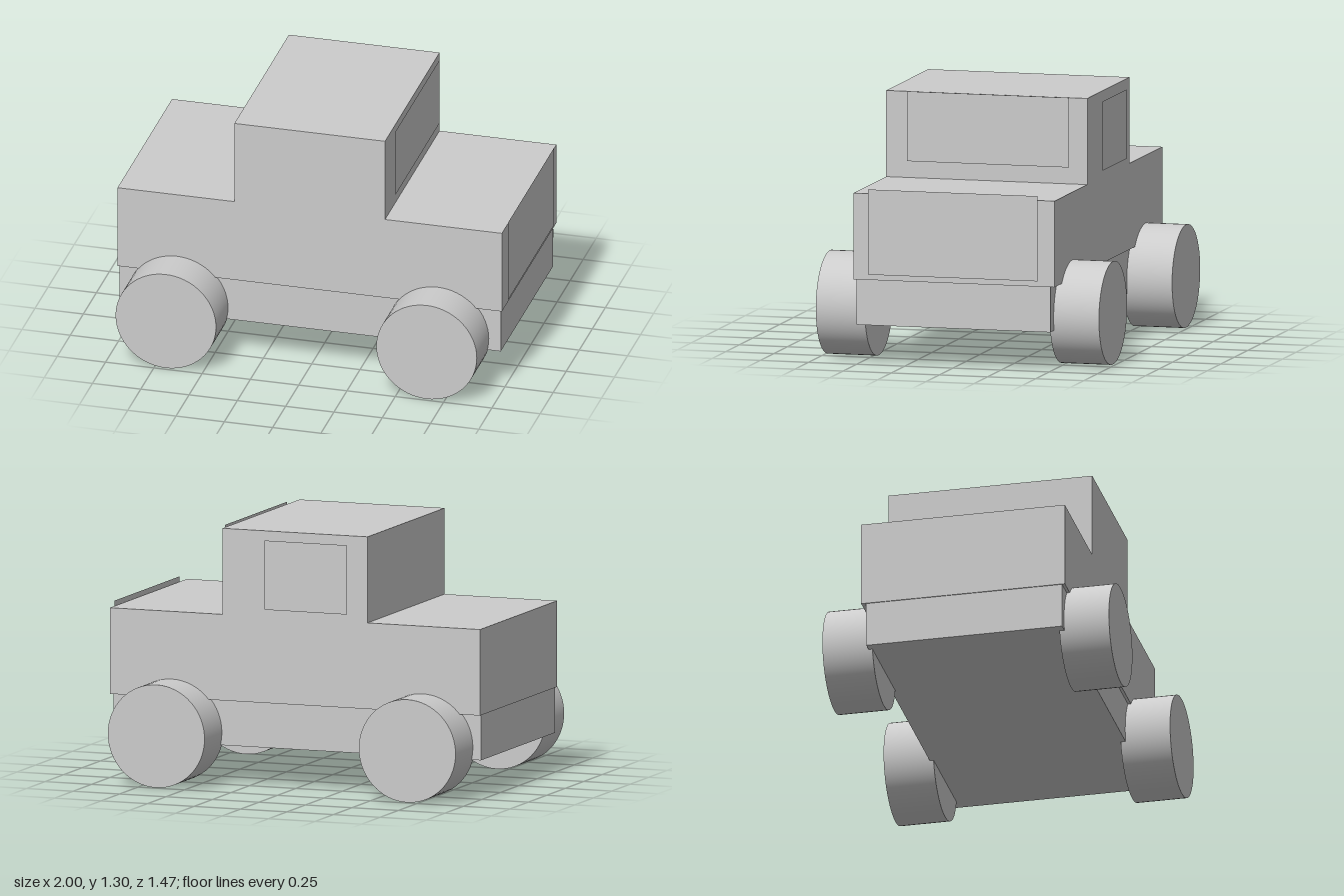
import * as THREE from 'three';

export function createModel() {
  const model = new THREE.Group();
  const material = new THREE.MeshStandardMaterial({ color: 0xcccccc });
  const thin = new THREE.MeshStandardMaterial({ color: 0xcccccc, side: THREE.DoubleSide });

  const add = (name, geometry, x, y, z, mat = material) => {
    const mesh = new THREE.Mesh(geometry, mat);
    mesh.name = name;
    mesh.position.set(x, y, z);
    model.add(mesh);
    return mesh;
  };

  // Stepped body: two decks with the cab between them
  const profile = new THREE.Shape([
    [-1, 0.43], [0.99, 0.43], [0.99, 0.865], [0.385, 0.865],
    [0.385, 1.3], [-0.395, 1.3], [-0.395, 0.865], [-1, 0.865],
  ].map(([x, y]) => new THREE.Vector2(x, y)));
  add('body', new THREE.ExtrudeGeometry(profile, { depth: 1.045, bevelEnabled: false }), 0, 0, -0.525);

  // Narrower chassis below the body
  add('chassis', new THREE.BoxGeometry(1.975, 0.235, 1.005), -0.0075, 0.3175, 0.0025);

  // Four wheels with their axes along z
  const wheel = new THREE.CylinderGeometry(0.26, 0.26, 0.255, 64).rotateX(Math.PI / 2);
  for (const x of [-0.692, 0.658]) {
    for (const side of [-1, 1]) add('wheel', wheel, x, 0.263, side * 0.6075);
  }

  // Thin panels standing just off the body faces
  const windscreen = add('windscreen', new THREE.PlaneGeometry(0.84, 0.352), 0.408, 1.127, -0.015, thin);
  const grille = add('grillePanel', new THREE.PlaneGeometry(0.88, 0.43), 1, 0.673, 0, thin);
  windscreen.rotation.y = grille.rotation.y = Math.PI / 2;
  const sideWindow = add('sideWindow', new THREE.PlaneGeometry(0.443, 0.35), -0.068, 1.078, -0.538, thin);
  sideWindow.rotation.y = Math.PI;

  return model;
}
